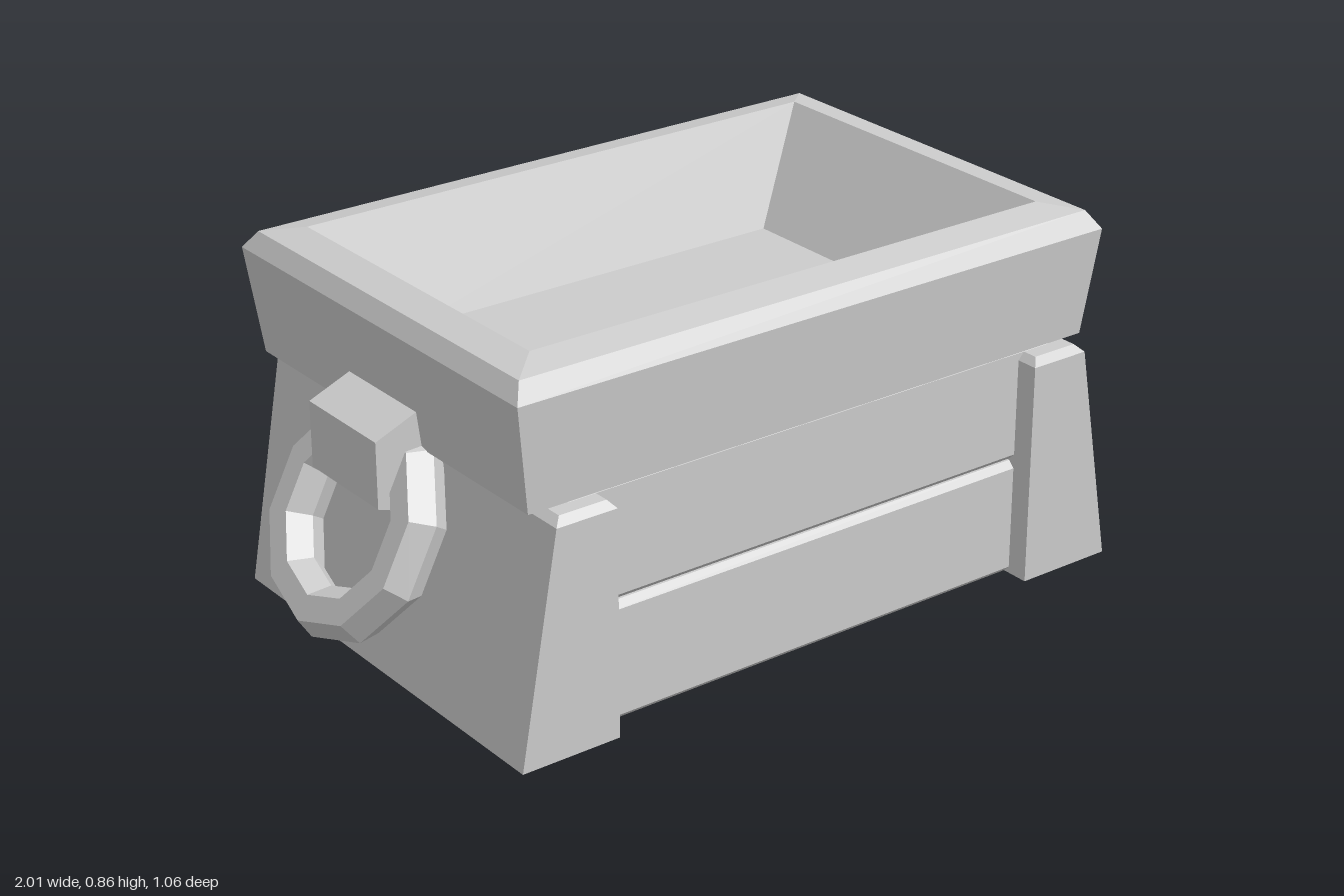
import * as THREE from 'three';

const material = new THREE.MeshStandardMaterial({ color: 0xcccccc, flatShading: true });

// Closed loft through rectangles, each given as [x0, x1, z0, z1, y]
function loft(sections) {
  const pos = [], index = [];
  for (const [x0, x1, z0, z1, y] of sections) {
    pos.push(x0, y, z1, x1, y, z1, x1, y, z0, x0, y, z0);
  }
  const top = (sections.length - 1) * 4;
  for (let s = 0; s < top; s += 4) {
    for (let i = 0; i < 4; i++) {
      const a = s + i, b = s + (i + 1) % 4;
      index.push(a, b, b + 4, a, b + 4, a + 4);
    }
  }
  index.push(0, 2, 1, 0, 3, 2, top, top + 1, top + 2, top, top + 2, top + 3);
  const g = new THREE.BufferGeometry();
  g.setAttribute('position', new THREE.Float32BufferAttribute(pos, 3));
  g.setIndex(index);
  const flat = g.toNonIndexed();
  flat.computeVertexNormals();
  return flat;
}

export function createModel() {
  const model = new THREE.Group();
  const add = (name, geometry) => {
    const mesh = new THREE.Mesh(geometry, material);
    mesh.name = name;
    model.add(mesh);
    return mesh;
  };

  // Flared tray: outer wall, bevelled rim, then down the inside to the floor
  const tray = [
    [0.738, 0.5, 0.555], [0.77, 0.52, 0.8], [0.745, 0.49, 0.84],
    [0.668, 0.415, 0.855], [0.49, 0.305, 0.61],
  ];
  add('tray', loft(tray.map(([x, z, y]) => [-0.032 - x, -0.032 + x, -z, z, y])));

  // Two bevelled planks on the front and back
  for (const [side, s] of [['front', 1], ['back', -1]]) {
    for (const [level, y0, y1] of [['Lower', 0, 0.276], ['Upper', 0.28, 0.555]]) {
      const ring = (inset, y) => [
        -0.66 + inset, 0.635 - inset,
        s * 0.417 - 0.06 + inset, s * 0.417 + 0.06 - inset, y,
      ];
      add(side + level + 'Plank',
        loft([ring(0.015, y0), ring(0, y0 + 0.015), ring(0, y1 - 0.015), ring(0.015, y1)]));
    }
  }

  for (const [side, s] of [['left', 1], ['right', -1]]) {
    // Tapered end block with a bevelled top
    const block = [[0.562, 0.803, 0.53, 0], [0.562, 0.71, 0.53, 0.523], [0.577, 0.692, 0.513, 0.54]];
    add(side + 'End', loft(block.map(([a, b, z, y]) => {
      const xs = [-0.014 + s * a, -0.014 + s * b];
      return [Math.min(...xs), Math.max(...xs), -z, z, y];
    })));

    // Handle bracket
    const profile = new THREE.Shape([
      [0.66, 0.41], [0.76, 0.41], [0.88, 0.45], [0.88, 0.6], [0.77, 0.645], [0.66, 0.645],
    ].map(([x, y]) => new THREE.Vector2(s * x, y)));
    const bracket = new THREE.ExtrudeGeometry(profile, { depth: 0.255, bevelEnabled: false });
    add(side + 'Bracket', bracket.translate(0, 0, -0.132));

    // Hanging ring, swung outwards at the bottom
    const ring = new THREE.TorusGeometry(0.207, 0.058, 6, 10);
    ring.rotateZ(-Math.PI / 2).rotateY(Math.PI / 2).rotateZ(s * 0.47);
    add(side + 'RingHandle', ring).position.set(s * 0.853, 0.366, -0.012);
  }
  return model;
}
